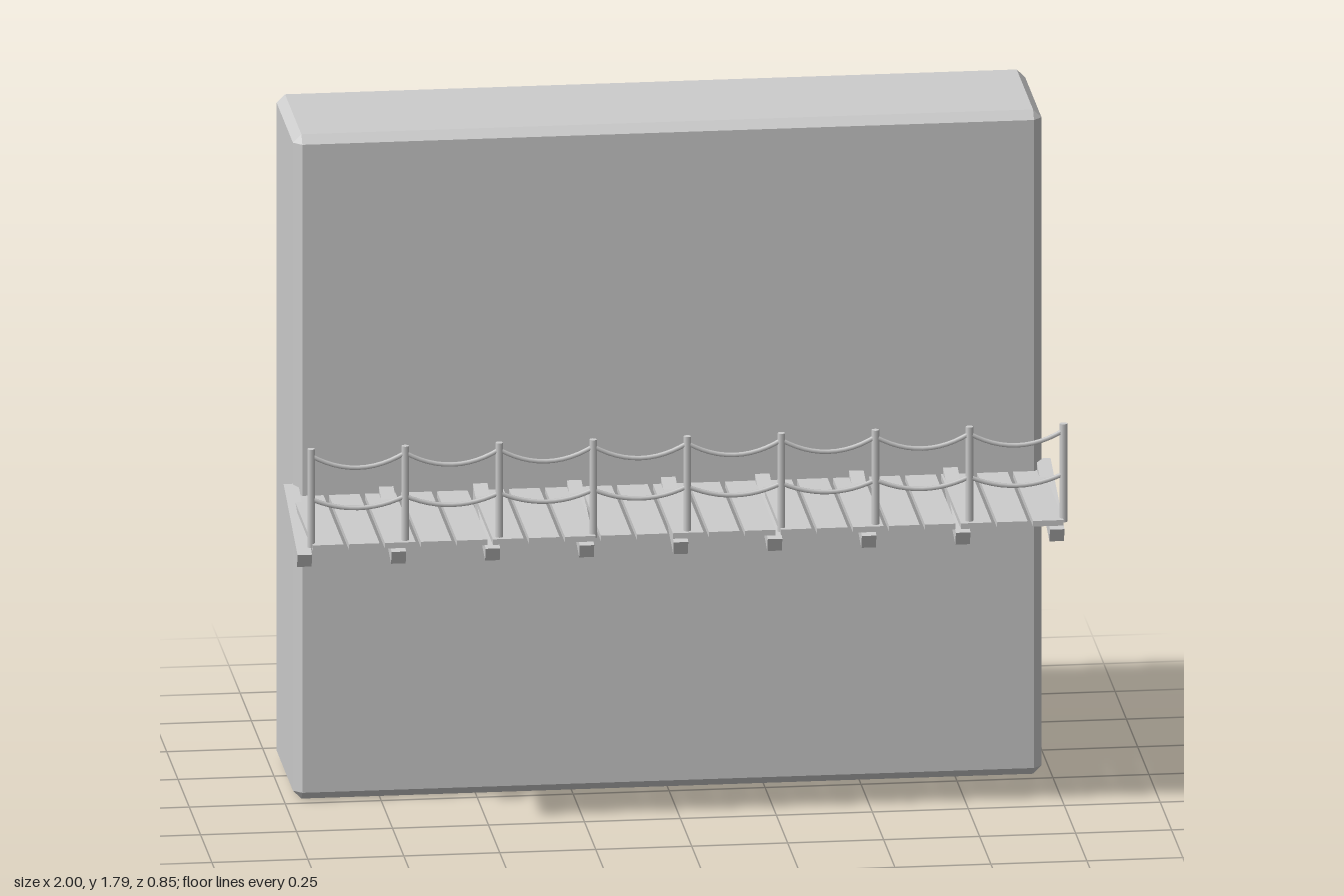
import * as THREE from 'three';
import { ConvexGeometry } from 'three/addons/geometries/ConvexGeometry.js';

const stone = new THREE.MeshStandardMaterial({ color: 0xcccccc });
stone.name = 'light grey';

const POSTS = 9, PITCH = 0.245, RAIL_Z = 0.403;
const postX = (i) => (i - (POSTS - 1) / 2) * PITCH;

// Box with every edge cut by a flat chamfer
function chamferedBox(w, h, d, c) {
  const points = [];
  for (const sx of [-1, 1]) for (const sy of [-1, 1]) for (const sz of [-1, 1]) {
    for (let axis = 0; axis < 3; axis++) {
      const half = [w / 2 - c, h / 2 - c, d / 2 - c];
      half[axis] += c;
      points.push(new THREE.Vector3(sx * half[0], sy * half[1], sz * half[2]));
    }
  }
  return new ConvexGeometry(points);
}

// Rope sagging between two neighbouring posts
function ropeGeometry(sag) {
  const points = [];
  for (let i = 0; i <= 8; i++) {
    const t = i / 4 - 1;
    points.push(new THREE.Vector3(t * PITCH / 2, -sag * (1 - t * t), 0));
  }
  return new THREE.TubeGeometry(new THREE.CatmullRomCurve3(points), 12, 0.006, 6);
}

export function createModel() {
  const model = new THREE.Group();
  model.name = 'cliffWalkway';

  const add = (name, geometry, x, y, z, parent = model) => {
    const mesh = new THREE.Mesh(geometry, stone);
    mesh.name = name;
    mesh.position.set(x, y, z);
    parent.add(mesh);
    return mesh;
  };
  const group = (name) => {
    const g = new THREE.Group();
    g.name = name;
    model.add(g);
    return g;
  };

  // Wall slab
  add('wall', chamferedBox(1.95, 1.795, 0.405, 0.022), 0, 0.8975, -0.2225);

  // Deck planks, running out from the wall
  const deck = group('deck');
  const plank = new THREE.BoxGeometry(0.08, 0.015, 0.455);
  for (let i = 0; i < 21; i++) add('plank', plank, (i - 10) * 0.0938, 0.817, 0.1975, deck);

  // Slanted support beams set into the wall
  const beams = group('supportBeams');
  const beam = new THREE.BoxGeometry(0.038, 0.037, 0.325);
  for (let i = 0; i < POSTS; i++) {
    add('supportBeam', beam, postX(i), 0.783, 0.1035, beams).rotation.x = 0.312;
  }

  // Railing posts and two rows of rope
  const railing = group('railing');
  const post = new THREE.CylinderGeometry(0.01, 0.01, 0.265, 8);
  const upperRope = ropeGeometry(0.036);
  const lowerRope = ropeGeometry(0.028);
  for (let i = 0; i < POSTS; i++) {
    add('post', post, postX(i), 0.9465, RAIL_Z, railing);
    if (i === POSTS - 1) continue;
    const middle = postX(i) + PITCH / 2;
    add('upperRope', upperRope, middle, 1.06, RAIL_Z, railing);
    add('lowerRope', lowerRope, middle, 0.943, RAIL_Z, railing);
  }
  return model;
}
